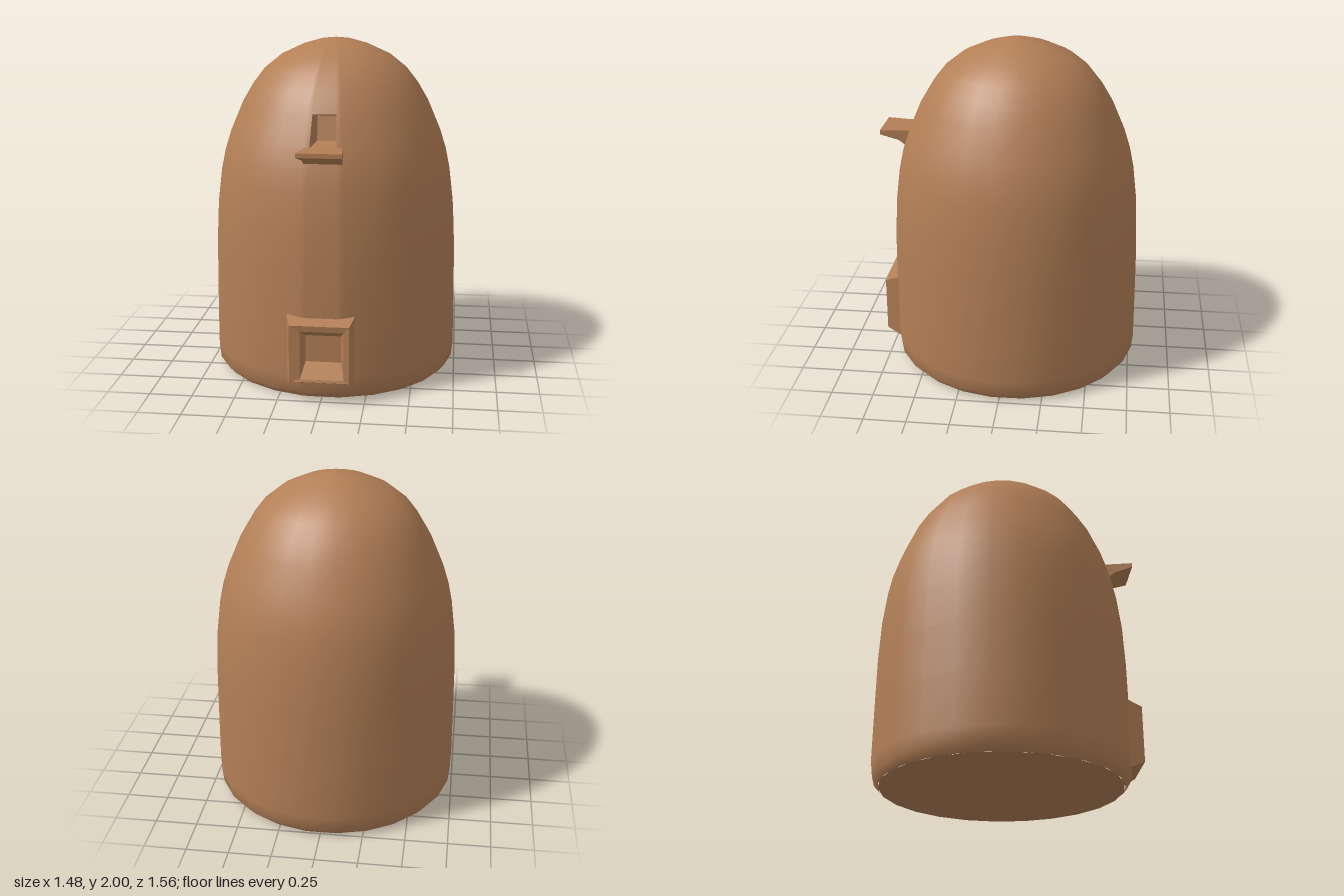
import * as THREE from 'three';

const CENTRE_Z = -0.03;
const Z_SCALE = 1.015;

// Wall profile from ground to crown: [height, radius]
const PROFILE = [
  [0, 0.70], [0.04, 0.735], [0.13, 0.745], [0.45, 0.742], [0.75, 0.738], [1.0, 0.725],
  [1.2, 0.70], [1.32, 0.675], [1.44, 0.637], [1.62, 0.56], [1.73, 0.495], [1.82, 0.425],
  [1.9, 0.325], [1.96, 0.195], [1.99, 0.09], [2, 0],
];
const DOOR = { angle: 0.17, y0: 0.13, y1: 0.45 };
const WINDOW = { angle: 0.12, y0: 1.44, y1: 1.62 };

function wallPoint(row, angle) {
  const [y, r] = PROFILE[row];
  return [r * Math.sin(angle), y, CENTRE_Z + r * Z_SCALE * Math.cos(angle)];
}

function makeGeometry(positions, index) {
  const g = new THREE.BufferGeometry();
  g.setAttribute('position', new THREE.Float32BufferAttribute(positions, 3));
  g.setIndex(index);
  return g;
}

// Domed wall, leaving out the cells of the two openings
function wallGeometry() {
  const angles = [-DOOR.angle, -WINDOW.angle, WINDOW.angle, DOOR.angle];
  const steps = 23;
  for (let k = 1; k < steps; k++) {
    angles.push(DOOR.angle + (k / steps) * (2 * Math.PI - 2 * DOOR.angle));
  }
  const n = angles.length;
  const positions = [];
  const index = [];
  PROFILE.forEach((_, i) => angles.forEach((a) => positions.push(...wallPoint(i, a))));
  for (let i = 0; i < PROFILE.length - 1; i++) {
    const y = PROFILE[i][0];
    for (let j = 0; j < n; j++) {
      const inDoor = j < 3 && y >= DOOR.y0 && y < DOOR.y1;
      const inWindow = j === 1 && y >= WINDOW.y0 && y < WINDOW.y1;
      if (inDoor || inWindow) continue;
      const k = (j + 1) % n;
      const a = i * n + j, b = i * n + k, c = b + n, d = a + n;
      index.push(a, b, c);
      if (i < PROFILE.length - 2) index.push(a, c, d);
    }
  }
  const g = makeGeometry(positions, index);
  g.computeVertexNormals();
  return g;
}

// Skin through four-cornered loops, with the last loop closed
function loopGeometry(loops) {
  const positions = loops.flat(2);
  const index = [];
  for (let i = 0; i < loops.length - 1; i++) {
    for (let j = 0; j < 4; j++) {
      const a = i * 4 + j, b = i * 4 + ((j + 1) % 4);
      index.push(a, b, b + 4, a, b + 4, a + 4);
    }
  }
  const e = (loops.length - 1) * 4;
  index.push(e, e + 1, e + 2, e, e + 2, e + 3);
  const g = makeGeometry(positions, index).toNonIndexed();
  g.computeVertexNormals();
  return g;
}

// Upright rectangle as a loop; its top edge may lie at another depth
function rect(x0, x1, y0, y1, z, zTop = z) {
  return [[x0, y0, z], [x1, y0, z], [x1, y1, zTop], [x0, y1, zTop]];
}

export function createModel() {
  const model = new THREE.Group();
  model.name = 'domedOven';
  const clay = new THREE.MeshStandardMaterial({ color: 0xb37f56 });
  clay.name = 'clay';

  const add = (name, geometry) => {
    const mesh = new THREE.Mesh(geometry, clay);
    mesh.name = name;
    model.add(mesh);
    return mesh;
  };

  add('domedWall', wallGeometry());

  // Flat underside
  const base = add('base', new THREE.CircleGeometry(PROFILE[0][1], 24));
  base.rotation.x = Math.PI / 2;
  base.scale.y = Z_SCALE;
  base.position.z = CENTRE_Z;

  // Raised door surround with a sloping recess
  add('doorFrame', loopGeometry([
    rect(-0.205, 0.195, 0.08, 0.51, 0.67),
    rect(-0.175, 0.165, 0.13, 0.465, 0.78),
    rect(-0.115, 0.135, 0.145, 0.43, 0.775),
    rect(-0.1, 0.105, 0.2, 0.36, 0.64),
  ]));

  // Niche behind the upper opening
  const low = PROFILE.findIndex((p) => p[0] === WINDOW.y0);
  add('windowNiche', loopGeometry([
    [wallPoint(low, -WINDOW.angle), wallPoint(low, WINDOW.angle),
      wallPoint(low + 1, WINDOW.angle), wallPoint(low + 1, -WINDOW.angle)],
    rect(-0.05, 0.06, 1.46, 1.6, 0.47, 0.44),
  ]));

  // Projecting ledge under the upper opening
  add('windowLedge', loopGeometry([
    rect(-0.1, 0.11, 1.33, 1.445, 0.6),
    rect(-0.11, 0.115, 1.385, 1.445, 0.67),
    rect(-0.13, 0.125, 1.42, 1.445, 0.78),
  ]));

  return model;
}
